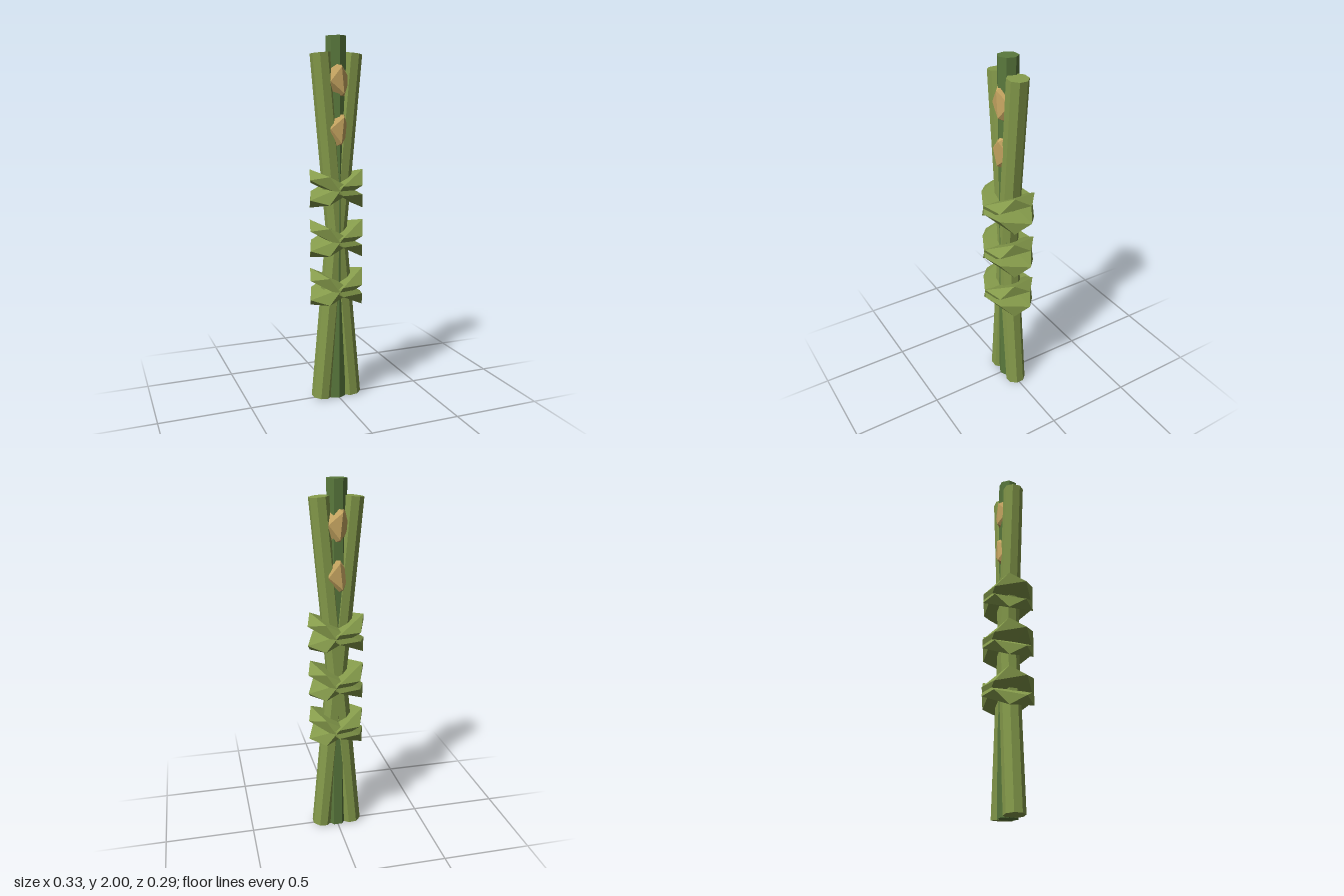
import * as THREE from 'three';

const mat = (name, color) => {
  const m = new THREE.MeshStandardMaterial({ color, flatShading: true });
  m.name = name;
  return m;
};

// Flattened drum: two five-sided rims, turned against each other, with shallow caps
function knotGeometry(rx, rz, rimHeight, poleHeight) {
  const points = [0, poleHeight, 0, 0, -poleHeight, 0];
  for (const side of [1, -1]) {
    for (let i = 0; i < 5; i++) {
      const a = (i / 5) * Math.PI * 2 + (side > 0 ? Math.PI : 0);
      points.push(Math.sin(a) * rx, side * rimHeight, Math.cos(a) * rz);
    }
  }
  const faces = [];
  for (let i = 0; i < 5; i++) {
    const j = (i + 1) % 5;
    const up = 2 + i, upNext = 2 + j;
    const low = 7 + ((i + 3) % 5); // lower corner just past the upper one
    const lowPrev = 7 + ((i + 2) % 5);
    faces.push(0, up, upNext, 1, low, lowPrev, up, low, upNext, up, lowPrev, low);
  }
  const g = new THREE.BufferGeometry();
  g.setAttribute('position', new THREE.Float32BufferAttribute(points, 3));
  g.setIndex(faces);
  const flat = g.toNonIndexed();
  flat.computeVertexNormals();
  return flat;
}

export function createModel() {
  const group = new THREE.Group();
  const darkGreen = mat('dark green', 0x5a793d);
  const green = mat('leaf green', 0x859b4b);
  const tan = mat('tan', 0xc8a762);

  const add = (name, geometry, material, parent = group) => {
    const mesh = new THREE.Mesh(geometry, material);
    mesh.name = name;
    parent.add(mesh);
    return mesh;
  };

  // Upright middle stalk
  add('middleStalk', new THREE.CylinderGeometry(0.055, 0.055, 1.995, 7), darkGreen).position.y = 1.0025;

  // Two leaning stalks that cross halfway up
  const lean = Math.atan2(0.176, 1.9);
  for (const side of [1, -1]) {
    const g = new THREE.CylinderGeometry(0.057, 0.057, 1.91, 8);
    g.rotateY(Math.PI / 8);
    const stalk = add(side > 0 ? 'leftLeaningStalk' : 'rightLeaningStalk', g, green);
    stalk.position.y = 0.961;
    stalk.rotation.z = -side * lean;
  }

  // Three bindings, each a pair of crossed knots
  const knot = knotGeometry(0.18, 0.143, 0.029, 0.034);
  [0.647, 0.92, 1.196].forEach((y, i) => {
    const binding = new THREE.Group();
    binding.name = 'binding' + (i + 1);
    binding.position.y = y;
    for (const turn of [0, Math.PI]) {
      const half = add('bindingKnot', knot, green, binding);
      half.rotation.order = 'YXZ';
      half.rotation.set(0, turn, -0.485);
    }
    group.add(binding);
  });

  // Tan buds showing through at the front and back
  [[1.77, 0.1], [1.512, -0.1]].forEach(([y, tilt], i) => {
    const g = new THREE.IcosahedronGeometry(1, 0);
    g.rotateY(0.2);
    g.scale(0.072, 0.13, 0.085);
    const bud = add('bud' + (i + 1), g, tan);
    bud.position.y = y;
    bud.rotation.z = tilt;
  });

  return group;
}
